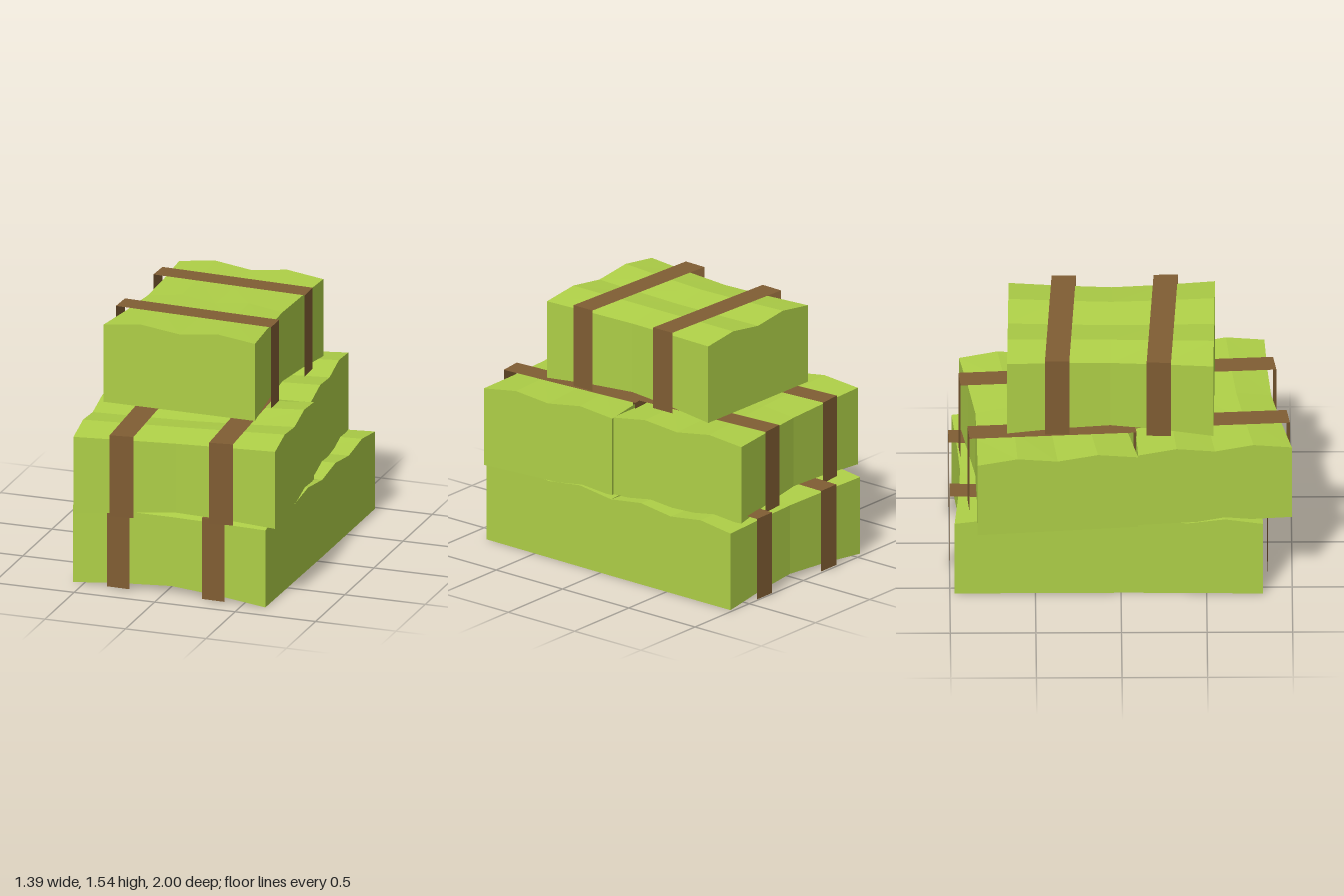
import * as THREE from 'three';

const green = new THREE.MeshStandardMaterial({ color: 0xaecf47, side: THREE.DoubleSide });
green.name = 'hayGreen';
const brown = new THREE.MeshStandardMaterial({ color: 0x805d33, side: THREE.DoubleSide });
brown.name = 'strapBrown';

const SEG = 4;                       // facets along each bale edge
const DENT = [0, 0.6, 1, 0.6, 0];    // how far the long sides are squeezed in
const PINCH = 0.045;                 // plan squeeze, as a fraction of the width
const HEIGHT = 0.477, RIPPLE = 0.03, ARCH = 0.04;

// Adds a faceted grid of triangles; i runs to the right and j upwards seen from outside
function addGrid(out, cols, rows, point) {
  for (let i = 0; i < cols; i++) {
    for (let j = 0; j < rows; j++) {
      const a = point(i, j), b = point(i + 1, j), c = point(i + 1, j + 1), d = point(i, j + 1);
      for (const p of [a, b, c, a, c, d]) out.push(...p);
    }
  }
}

function makeMesh(positions, material, name) {
  const geometry = new THREE.BufferGeometry();
  geometry.setAttribute('position', new THREE.Float32BufferAttribute(positions, 3));
  geometry.computeVertexNormals();
  const mesh = new THREE.Mesh(geometry, material);
  mesh.name = name;
  return mesh;
}

// Corners in plan [x, z]: near start, near end, far end, far start
function makeBale(name, base, corners) {
  const bale = new THREE.Group();
  bale.name = name;
  const [A, B, C, D] = corners;
  const at = (u, v, y) => {
    const mix = k => (A[k] * (1 - u) + B[k] * u) * (1 - v) + (D[k] * (1 - u) + C[k] * u) * v;
    return [mix(0), base + y, mix(1)];
  };
  const upper = (i, j) =>
    at(i / SEG, 0.5 + (j / SEG - 0.5) * (1 - 2 * PINCH * DENT[i]),
      HEIGHT + (j % 2 ? RIPPLE : 0) - 0.01 * DENT[i]);
  const lower = (i, j) =>
    at(i / SEG, 0.5 + (j / SEG - 0.5) * (1 - 2 * PINCH * DENT[i]), ARCH * DENT[i]);
  const wall = (i, j, top) => (top ? upper(i, j) : lower(i, j));

  // Rippled top, two squeezed long sides, two flat ends, open underside
  const body = [];
  addGrid(body, SEG, SEG, upper);
  addGrid(body, SEG, 1, (i, t) => wall(i, 0, t));
  addGrid(body, SEG, 1, (i, t) => wall(SEG - i, SEG, t));
  addGrid(body, SEG, 1, (j, t) => wall(SEG, j, t));
  addGrid(body, SEG, 1, (j, t) => wall(0, SEG - j, t));
  bale.add(makeMesh(body, green, 'hayBody'));

  // Two slightly skewed straps, each a thin sheet folded over the bale
  const path = [[-0.02, 0.008], [-0.02, 0.51], [1.025, 0.51], [1.025, 0.008]];
  for (const [near, far] of [[0.243, 0.266], [0.736, 0.76]]) {
    const strap = [];
    addGrid(strap, 1, path.length - 1, (i, j) => {
      const [v, y] = path[j];
      return at(near + (far - near) * v + (i - 0.5) * 0.118, v, y);
    });
    bale.add(makeMesh(strap, brown, 'strap'));
  }
  return bale;
}

export function createModel() {
  const model = new THREE.Group();
  model.name = 'hayBaleStack';
  model.add(
    makeBale('bottomFrontBale', 0, [[-0.57, 0.83], [0.64, 0.868], [0.65, -0.08], [-0.555, -0.06]]),
    makeBale('bottomBackBale', 0, [[-0.56, -0.04], [0.65, -0.08], [0.652, -0.983], [-0.558, -0.972]]),
    makeBale('middleFrontBale', 0.485, [[-0.505, 0.998], [0.692, 0.845], [0.608, -0.055], [-0.59, 0.1]]),
    makeBale('middleBackBale', 0.485, [[-0.61, 0.1], [0.592, -0.045], [0.5, -0.94], [-0.698, -0.84]]),
    makeBale('topBale', 1.03, [[-0.45, -0.665], [-0.485, 0.54], [0.462, 0.556], [0.45, -0.65]]),
  );
  return model;
}
